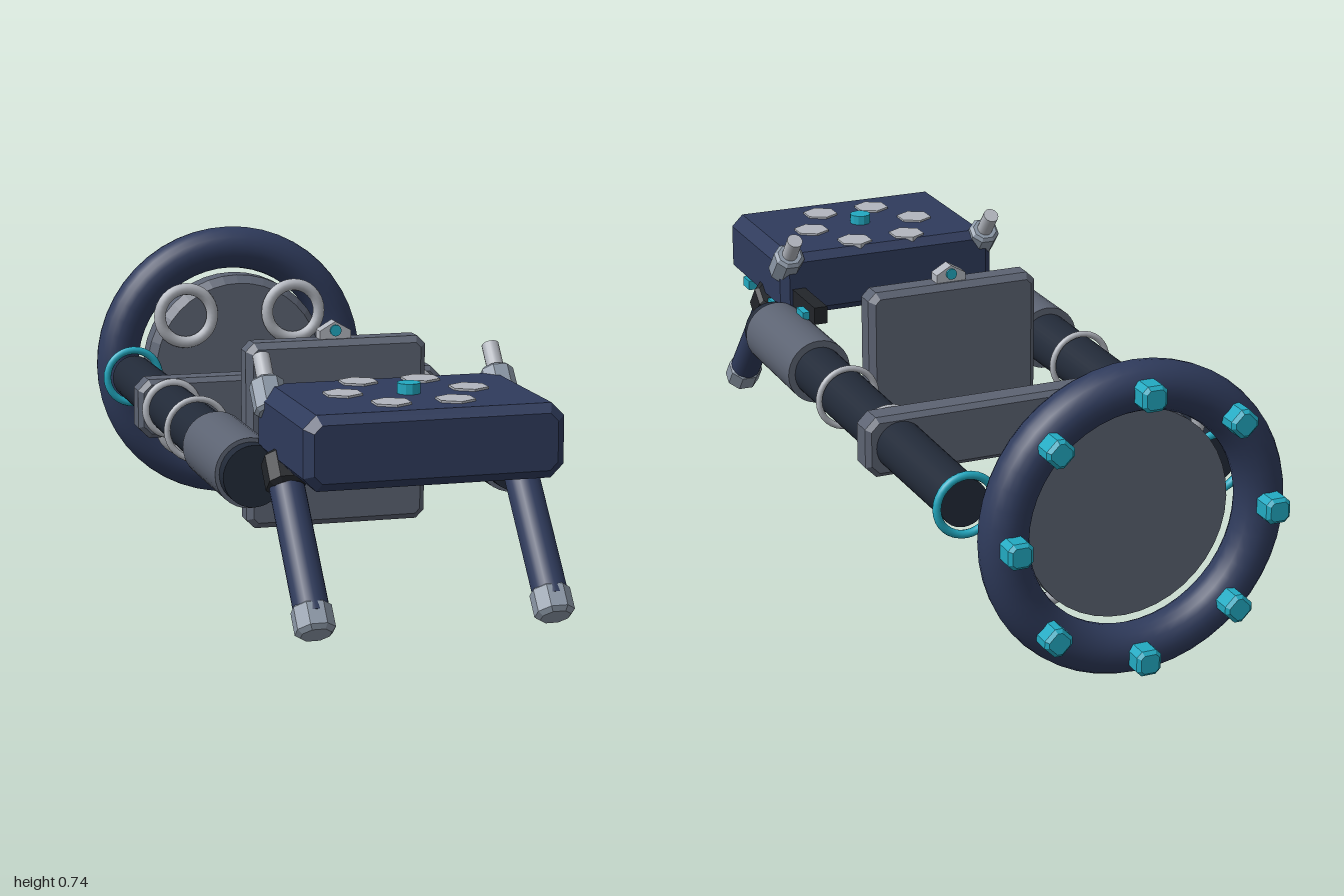
import * as THREE from 'three';

const mat = (color) => new THREE.MeshStandardMaterial({ color, roughness: 0.7 });
const flat = (color) => new THREE.MeshStandardMaterial({ color, roughness: 0.7, flatShading: true });
const NAVY = 0x2f3b5c, DARK = 0x222a38, BLACK = 0x22252a, GREY = 0x5c6372;
const LIGHT = 0xb2b6be, CYAN = 0x22aac2, STEEL = 0x8d99a8;

export function createModel() {
  const model = new THREE.Group();
  model.name = 'spaceVehicle';

  const add = (name, geometry, material, x = 0, y = 0, z = 0) => {
    const mesh = new THREE.Mesh(geometry, material);
    mesh.name = name;
    mesh.position.set(x, y, z);
    model.add(mesh);
    return mesh;
  };

  // Box with cut corners in its xy outline and a bevelled front and back
  const chamferBox = (w, h, d, c, b) => {
    const x = w / 2 - b, y = h / 2 - b;
    const outline = [[x - c, -y], [x, -y + c], [x, y - c], [x - c, y],
      [-x + c, y], [-x, y - c], [-x, -y + c], [-x + c, -y]];
    const shape = new THREE.Shape(outline.map(([u, v]) => new THREE.Vector2(u, v)));
    const geometry = new THREE.ExtrudeGeometry(shape, {
      depth: d - 2 * b, bevelEnabled: true, bevelSize: b, bevelThickness: b, bevelSegments: 1,
    });
    return geometry.translate(0, 0, b - d / 2);
  };

  // Cylinder along z, rFront being the +z end
  const zCylinder = (rFront, rBack, length, sides = 32) =>
    new THREE.CylinderGeometry(rFront, rBack, length, sides).rotateX(Math.PI / 2);

  // Turns the y axis of a mesh along the line from a to b, and centres it there
  const between = (name, a, b, make, material) => {
    const from = new THREE.Vector3(...a), to = new THREE.Vector3(...b);
    const dir = to.clone().sub(from);
    const mesh = add(name, make(dir.length()), material);
    mesh.position.copy(from).add(to).multiplyScalar(0.5);
    mesh.quaternion.setFromUnitVectors(new THREE.Vector3(0, 1, 0), dir.normalize());
    return mesh;
  };

  // Rear ring with its lugs
  const cy = 0.375;
  add('rearRing', new THREE.TorusGeometry(0.315, 0.057, 20, 48), mat(NAVY), 0, cy, -0.895);
  for (let i = 0; i < 8; i++) {
    const a = i * Math.PI / 4;
    const lug = add('ringLug', chamferBox(0.06, 0.06, 0.06, 0.008, 0.008), flat(CYAN),
      0.315 * Math.cos(a), cy + 0.315 * Math.sin(a), -0.966);
    lug.rotation.z = a;
  }

  // Engine disc with four nozzle rings and a small valve
  const discProfile = [[0, -0.04], [0.25, -0.04], [0.25, 0.015], [0.23, 0.04], [0, 0.04]]
    .map(([r, h]) => new THREE.Vector2(r, h));
  add('engineDisc', new THREE.LatheGeometry(discProfile, 40).rotateX(Math.PI / 2),
    flat(GREY), 0, cy, -0.825);
  for (const sx of [-1, 1]) {
    for (const sy of [-1, 1]) {
      add('nozzleRing', new THREE.TorusGeometry(0.073, 0.016, 12, 32), mat(LIGHT),
        sx * 0.15, cy + sy * 0.15, -0.77);
    }
  }
  add('discValve', new THREE.BoxGeometry(0.02, 0.03, 0.04), flat(CYAN), 0.055, 0.23, -0.768);

  for (const s of [-1, 1]) {
    // Side tubes with sleeve, front plug and bands
    const x = s * 0.315, y = 0.38;
    add('sideTube', zCylinder(0.067, 0.058, 1.24), mat(DARK), x, y, -0.06);
    add('tubeSleeve', zCylinder(0.082, 0.082, 0.32), mat(GREY), x, y, 0.4);
    add('tubePlug', zCylinder(0.072, 0.072, 0.07), mat(DARK), x, y, 0.563);
    add('tubeBand', new THREE.TorusGeometry(0.075, 0.008, 10, 32), mat(LIGHT), x, y, 0.043);
    add('beamBand', new THREE.TorusGeometry(0.066, 0.011, 10, 32), mat(LIGHT), x, y, -0.228);
    add('tubeEndRing', new THREE.TorusGeometry(0.071, 0.01, 10, 32), mat(CYAN), x, y, -0.69);

    // Front legs with joint and foot
    const lx = s * 0.275;
    between('frontLeg', [lx, 0.42, 0.7], [lx, 0.14, 0.945],
      (l) => new THREE.CylinderGeometry(0.04, 0.04, l, 24), mat(NAVY));
    between('legJoint', [lx, 0.445, 0.685], [lx, 0.38, 0.74],
      (l) => chamferBox(0.088, 0.088, l, 0.015, 0.01).rotateX(Math.PI / 2), flat(BLACK));
    between('legFoot', [lx, 0.162, 0.925], [lx, 0.106, 0.972],
      (l) => chamferBox(0.086, 0.08, l, 0.018, 0.01).rotateX(Math.PI / 2), flat(STEEL));

    // Raised posts at the back of the front block
    between('postBase', [lx, 0.525, 0.607], [lx, 0.59, 0.55],
      (l) => chamferBox(0.075, 0.07, l, 0.016, 0.008).rotateX(Math.PI / 2), flat(STEEL));
    between('post', [lx, 0.57, 0.568], [lx, 0.64, 0.51],
      (l) => new THREE.CylinderGeometry(0.02, 0.02, l, 16), mat(LIGHT));
  }

  // Cross beam and upright centre plate
  add('crossBeam', chamferBox(0.8, 0.15, 0.075, 0.02, 0.012), flat(GREY), 0, 0.38, -0.265);
  add('centrePlate', chamferBox(0.45, 0.455, 0.075, 0.012, 0.015), flat(GREY), 0, 0.382, 0.15);
  add('plateNut', new THREE.CylinderGeometry(0.045, 0.045, 0.035, 6).rotateX(Math.PI / 2)
    , flat(LIGHT), 0, 0.607, 0.15);
  add('plateBolt', zCylinder(0.014, 0.014, 0.045, 12), flat(CYAN), 0, 0.63, 0.15);

  // Front block with a ring of hexagonal caps and a centre button
  add('frontBlock', chamferBox(0.594, 0.168, 0.415, 0.018, 0.02), flat(NAVY), 0, 0.501, 0.758);
  for (let i = 0; i < 6; i++) {
    const a = i * Math.PI / 3;
    add('hexCap', new THREE.CylinderGeometry(0.046, 0.046, 0.012, 6), flat(LIGHT),
      0.147 * Math.cos(a), 0.584, 0.735 + 0.147 * Math.sin(a));
  }
  add('centreButton', new THREE.CylinderGeometry(0.027, 0.027, 0.03, 12), flat(CYAN), 0, 0.594, 0.755);

  // Side bracket and small fittings on the left
  add('sideBracket', new THREE.BoxGeometry(0.035, 0.045, 0.2), flat(BLACK), 0.252, 0.472, 0.49);
  add('bracketLight', new THREE.BoxGeometry(0.02, 0.02, 0.05), flat(CYAN), 0.277, 0.462, 0.452);
  add('blockFitting', new THREE.BoxGeometry(0.035, 0.025, 0.045), flat(CYAN), 0.286, 0.432, 0.822);
  add('blockFitting', new THREE.BoxGeometry(0.035, 0.025, 0.045), flat(CYAN), 0.28, 0.425, 0.645);

  return model;
}
